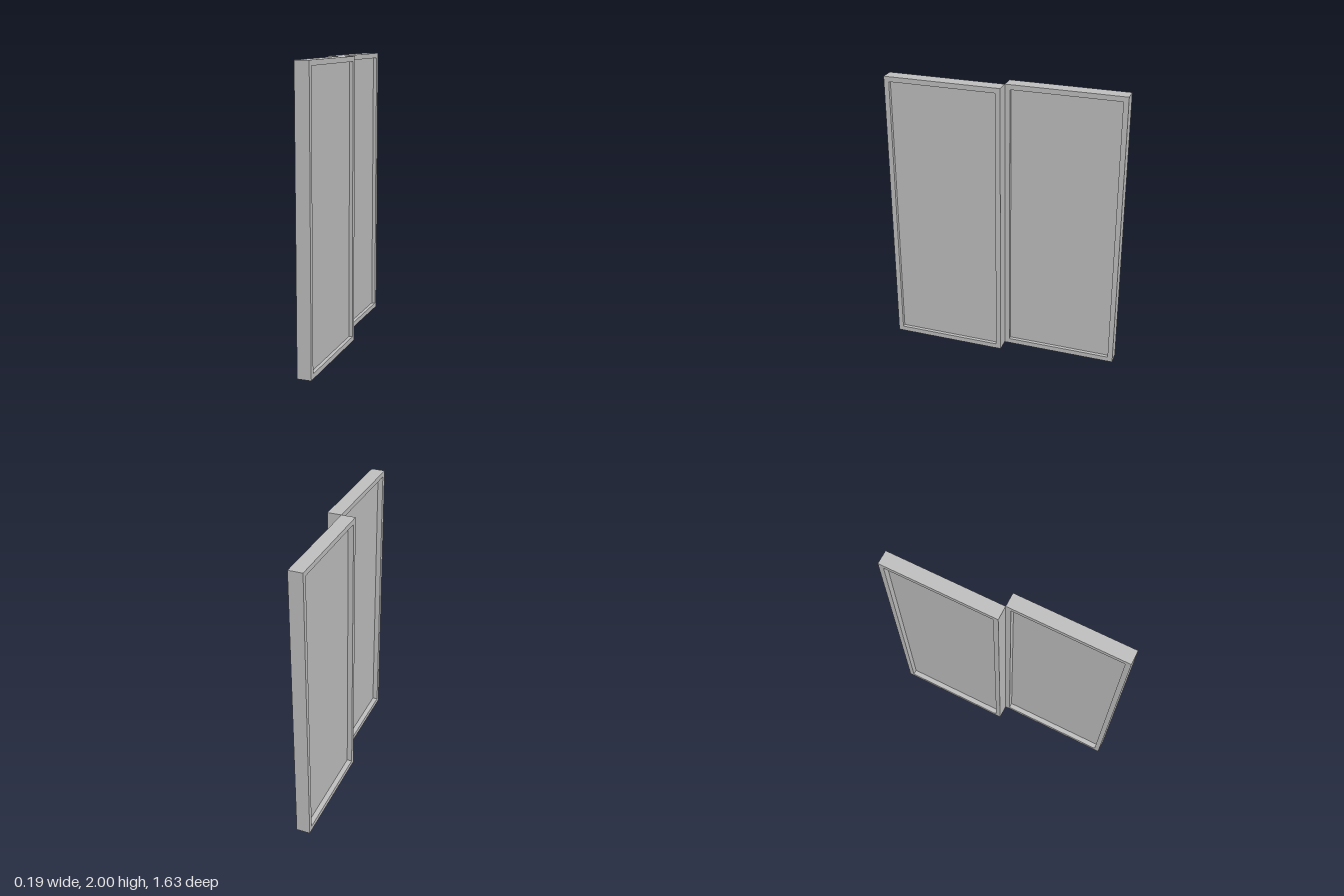
import * as THREE from 'three';

const HEIGHT = 2, WIDTH = 0.815, DEPTH = 0.097, BORDER = 0.035;
const RECESS_RIGHT = 0.025, RECESS_LEFT = 0.036; // pane setback on the +x and -x faces

const grey = new THREE.MeshStandardMaterial({ color: 0xc0c0c0 });
grey.name = 'grey';

// One sliding panel: a rectangular frame around a recessed pane, spanning x 0..DEPTH, z 0..WIDTH
function createPanel(name) {
  const panel = new THREE.Group();
  panel.name = name;

  // Frame outline with a rectangular opening, extruded through the depth
  const outline = new THREE.Shape([
    new THREE.Vector2(0, 0), new THREE.Vector2(WIDTH, 0),
    new THREE.Vector2(WIDTH, HEIGHT), new THREE.Vector2(0, HEIGHT),
  ]);
  const r = WIDTH - BORDER, t = HEIGHT - BORDER;
  outline.holes.push(new THREE.Path([
    new THREE.Vector2(BORDER, BORDER), new THREE.Vector2(BORDER, t),
    new THREE.Vector2(r, t), new THREE.Vector2(r, BORDER),
  ]));
  const frameGeometry = new THREE.ExtrudeGeometry(outline, { depth: DEPTH, bevelEnabled: false });
  frameGeometry.rotateY(-Math.PI / 2).translate(DEPTH, 0, 0);
  const frame = new THREE.Mesh(frameGeometry, grey);
  frame.name = 'frame';

  // Pane set back from both faces
  const thickness = DEPTH - RECESS_RIGHT - RECESS_LEFT;
  const pane = new THREE.Mesh(
    new THREE.BoxGeometry(thickness, HEIGHT - 2 * BORDER, WIDTH - 2 * BORDER), grey);
  pane.name = 'pane';
  pane.position.set(RECESS_LEFT + thickness / 2, HEIGHT / 2, WIDTH / 2);

  panel.add(frame, pane);
  return panel;
}

export function createModel() {
  const model = new THREE.Group();
  model.name = 'slidingPanels';

  // Two panels on neighbouring tracks, meeting at the centre
  const frontPanel = createPanel('frontPanel');
  const backPanel = createPanel('backPanel');
  backPanel.position.set(-DEPTH, 0, -WIDTH);
  model.add(frontPanel, backPanel);
  return model;
}
